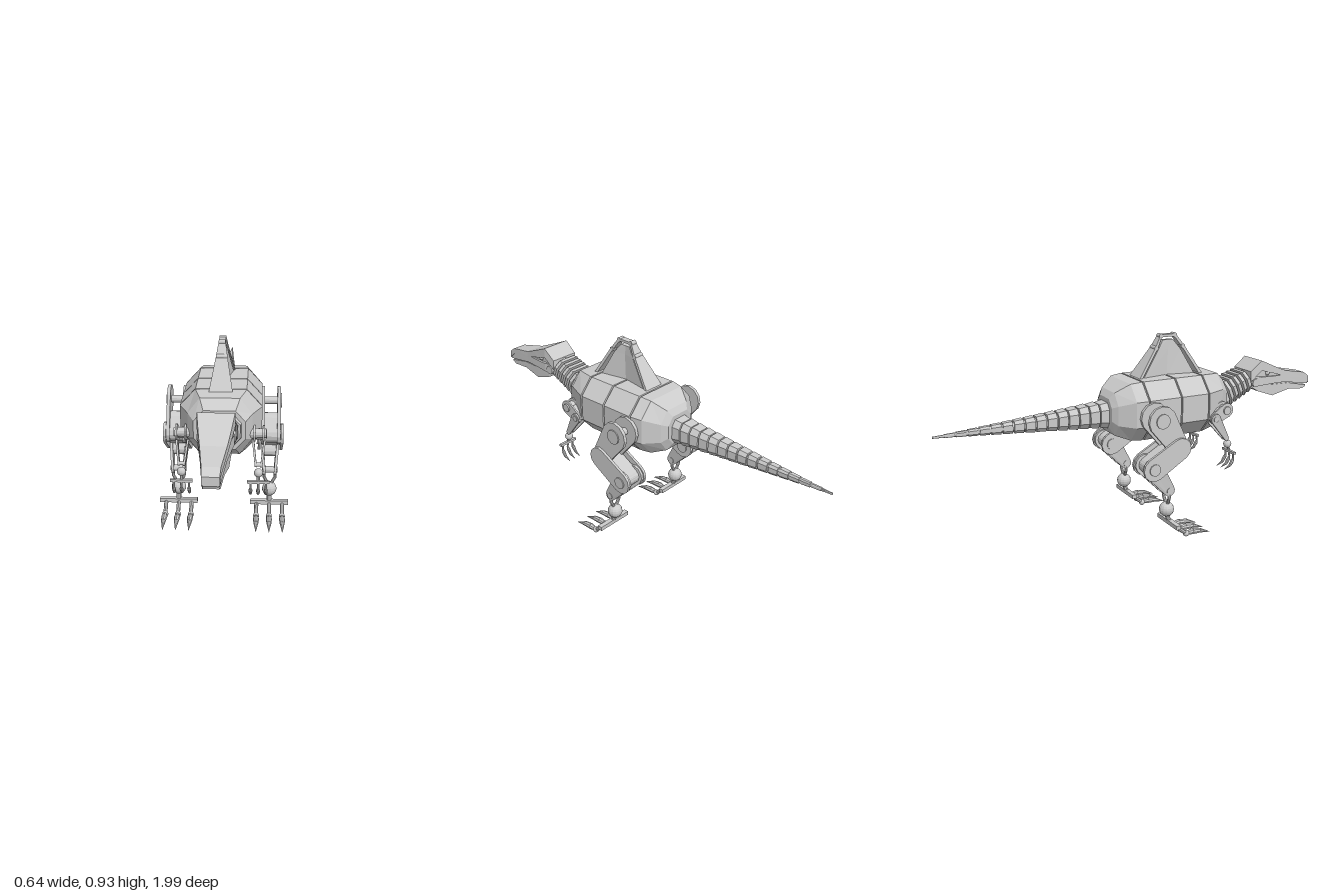
import * as THREE from 'three';

const mat = new THREE.MeshStandardMaterial({ color: 0xcccccc, flatShading: true, side: THREE.DoubleSide });
const lerp = THREE.MathUtils.lerp;

function add(parent, name, geo) {
  const m = new THREE.Mesh(geo, mat);
  m.name = name;
  parent.add(m);
  return m;
}

// Skin a list of equal-length rings of [x, y, z], with capped ends
function loft(rings) {
  const n = rings[0].length, idx = [];
  for (let i = 0; i < rings.length - 1; i++) for (let j = 0; j < n; j++) {
    const a = i * n + j, b = i * n + (j + 1) % n;
    idx.push(a, b, b + n, a, b + n, a + n);
  }
  const e = (rings.length - 1) * n;
  for (let j = 1; j < n - 1; j++) idx.push(0, j + 1, j, e, e + j, e + j + 1);
  const g = new THREE.BufferGeometry();
  g.setAttribute('position', new THREE.Float32BufferAttribute(rings.flat(2), 3));
  g.setIndex(idx);
  const out = g.toNonIndexed();
  out.computeVertexNormals();
  return out;
}

// Octagonal cross-section; cx, cy are the kept fractions of the flat sides
function oct(z, w, top, bot, cx = 0.62, cy = 0.45) {
  const a = w * cx, m = (top + bot) / 2, h = (top - bot) / 2 * cy;
  return [[w, m - h, z], [w, m + h, z], [a, top, z], [-a, top, z],
    [-w, m + h, z], [-w, m - h, z], [-a, bot, z], [a, bot, z]];
}

// Round-ended plate in the side plane between [z, y] points, x going from x1 to x2
function link(p, r1, x1, q, r2, x2, t) {
  const a = Math.atan2(q[1] - p[1], q[0] - p[0]), pts = [];
  [[q, r2, -0.5], [p, r1, 0.5]].forEach(([c, r, s]) => {
    for (let i = 0; i <= 6; i++) {
      const u = a + (s + i / 6) * Math.PI;
      pts.push(new THREE.Vector2(c[0] + r * Math.cos(u), c[1] + r * Math.sin(u)));
    }
  });
  const g = new THREE.ExtrudeGeometry(new THREE.Shape(pts), { depth: t, bevelEnabled: false });
  g.translate(0, 0, -t / 2).rotateY(-Math.PI / 2);
  const pos = g.attributes.position;
  for (let i = 0; i < pos.count; i++) {
    const k = (pos.getY(i) - p[1]) / (q[1] - p[1]);
    pos.setX(i, pos.getX(i) + lerp(x1, x2, THREE.MathUtils.clamp(k, 0, 1)));
  }
  g.computeVertexNormals();
  return g;
}

// Tapered rod between two [x, y, z] points
function rod(a, b, r1, r2 = r1, sides = 8) {
  const p = new THREE.Vector3(...a), d = new THREE.Vector3(...b).sub(p);
  const g = new THREE.CylinderGeometry(r2, r1, d.length(), sides);
  g.translate(0, d.length() / 2, 0);
  g.applyQuaternion(new THREE.Quaternion().setFromUnitVectors(new THREE.Vector3(0, 1, 0), d.normalize()));
  return g.translate(p.x, p.y, p.z);
}
const pin = (c, x1, x2, r) => rod([x1, c[1], c[0]], [x2, c[1], c[0]], r, r, 14);
const ball = (x, y, z, r) => new THREE.SphereGeometry(r, 14, 10).translate(x, y, z);

// Ribbon following [z, y, halfWidth] points
function strip(path, t) {
  return loft(path.map((p, i) => {
    const a = path[Math.max(i - 1, 0)], b = path[Math.min(i + 1, path.length - 1)];
    const l = Math.hypot(b[0] - a[0], b[1] - a[1]), tz = (b[0] - a[0]) / l, ty = (b[1] - a[1]) / l;
    const at = (s, k) => [s * p[2], p[1] + k * tz * t / 2, p[0] - k * ty * t / 2];
    return [at(-1, -1), at(1, -1), at(1, 1), at(-1, 1)];
  }));
}

// Curved digit: rod chain through [z, y, radius] points
function digit(parent, name, x, pts) {
  for (let i = 0; i < pts.length - 1; i++) {
    const [a, b] = [pts[i], pts[i + 1]];
    add(parent, name, rod([x, a[1], a[0]], [x, b[1], b[0]], a[2], b[2]));
  }
}

function makeLeg() {
  const g = new THREE.Group();
  const hip = [-0.02, 0.585], knee = [0.07, 0.445], hock = [-0.068, 0.365], ankle = [0.025, 0.24];
  for (const s of [-1, 1]) {
    add(g, 'thighPlate', link(hip, 0.07, s * 0.038, knee, 0.048, s * 0.038, 0.016));
    add(g, 'middlePlate', link(knee, 0.052, s * 0.054, hock, 0.056, s * 0.054, 0.013));
    add(g, 'shinPlate', link(hock, 0.05, s * 0.042, ankle, 0.028, s * 0.026, 0.013));
    add(g, 'jointCap', pin(hip, s * 0.03, s * 0.052, 0.035));
    add(g, 'jointCap', pin(hock, s * 0.05, s * 0.066, 0.028));
    add(g, 'ankleFork', rod([s * 0.027, 0.235, 0.025], [s * 0.027, 0.2, 0.026], 0.008));
    add(g, 'ankleFork', rod([s * 0.027, 0.2, 0.026], [s * 0.008, 0.165, 0.027], 0.008));
  }
  add(g, 'thighCore', link([0.03, 0.505], 0.035, 0, knee, 0.04, 0, 0.06));
  add(g, 'middleCore', link(knee, 0.035, 0, hock, 0.035, 0, 0.08));
  add(g, 'shinCore', link(hock, 0.035, 0, [-0.03, 0.32], 0.03, 0, 0.06));
  add(g, 'hipAxle', pin(hip, -0.1, 0.045, 0.018));
  add(g, 'kneePin', pin(knee, -0.06, 0.06, 0.025));
  add(g, 'anklePin', pin(ankle, -0.038, 0.038, 0.016));
  add(g, 'ankleBall', ball(0, 0.138, 0.027, 0.036));
  add(g, 'footStem', rod([0, 0.11, 0.03], [0, 0.07, 0.042], 0.012));
  add(g, 'toeBar', new THREE.BoxGeometry(0.187, 0.02, 0.024).translate(0, 0.072, 0.042));
  for (const x of [-0.063, 0, 0.064]) {
    digit(g, 'toe', x, [[0.042, 0.07, 0.01], [0.065, 0.05, 0.01], [0.095, 0.026, 0.01]]);
    add(g, 'toeJoint', ball(x, 0.022, 0.1, 0.015));
    digit(g, 'claw', x, [[0.1, 0.022, 0.009], [0.135, 0.025, 0.015], [0.175, 0.022, 0.012], [0.232, 0.004, 0.001]]);
  }
  return g;
}

function makeArm(side) {
  const g = new THREE.Group();
  const shoulder = [0.375, 0.57], elbow = [0.31, 0.535], wrist = [0.385, 0.425];
  for (const s of [-1, 1]) {
    add(g, 'upperArmPlate', link(shoulder, 0.036, s * 0.02, elbow, 0.028, s * 0.02, 0.009));
    add(g, 'forearmPlate', link(elbow, 0.026, s * 0.03, wrist, 0.012, s * 0.012, 0.009));
  }
  add(g, 'upperArmCore', link([0.35, 0.557], 0.024, 0, elbow, 0.02, 0, 0.036));
  add(g, 'shoulderAxle', rod([-side * 0.065, shoulder[1], shoulder[0]], [side * 0.032, shoulder[1], shoulder[0]], 0.026, 0.02, 12));
  add(g, 'elbowPin', pin(elbow, -0.036, 0.036, 0.014));
  add(g, 'wristPin', pin(wrist, -0.018, 0.018, 0.009));
  add(g, 'wristBall', ball(0, 0.392, 0.4, 0.02));
  add(g, 'handStem', rod([0, 0.38, 0.405], [0, 0.35, 0.412], 0.007));
  add(g, 'fingerBar', new THREE.BoxGeometry(0.1, 0.012, 0.014).translate(0, 0.353, 0.412));
  for (const x of [-0.034, 0, 0.034])
    digit(g, 'finger', x, [[0.412, 0.352, 0.005], [0.415, 0.325, 0.005], [0.41, 0.312, 0.009], [0.396, 0.29, 0.007], [0.365, 0.274, 0.001]]);
  return g;
}

export function createModel() {
  const root = new THREE.Group();
  root.name = 'mechanicalSailBackedDinosaur';

  // Torso: faceted barrel with narrow seams between its armour bands
  const seam = z => [oct(z - 0.004, 0.183, 0.738, 0.458), oct(z - 0.003, 0.176, 0.731, 0.465),
    oct(z + 0.003, 0.176, 0.731, 0.465), oct(z + 0.004, 0.183, 0.738, 0.458)];
  add(root, 'torso', loft([oct(-0.185, 0.08, 0.66, 0.52), oct(-0.165, 0.11, 0.69, 0.485),
    oct(-0.1, 0.17, 0.732, 0.462), ...seam(-0.04), ...seam(0.13), ...seam(0.28),
    oct(0.385, 0.14, 0.732, 0.475), oct(0.43, 0.112, 0.69, 0.515)]));
  add(root, 'neckCollar', loft([oct(0.42, 0.098, 0.68, 0.525), oct(0.445, 0.09, 0.67, 0.535)]));

  // Sail: concave-sided panel inside a separate tapering frame
  const panel = (y, z1, z2, w, m) => {
    const c = (z1 + z2) / 2;
    return [[w, y, z1], [m, y, c], [w, y, z2], [-w, y, z2], [-m, y, c], [-w, y, z1]];
  };
  add(root, 'sailPanel', loft([panel(0.72, 0.285, -0.01, 0.048, 0.02), panel(0.86, 0.21, 0.09, 0.022, 0.011),
    panel(0.905, 0.175, 0.12, 0.012, 0.008)]));
  const frame = [[0.315, 0.725, 0.054], [0.225, 0.87, 0.025], [0.185, 0.925, 0.015],
    [0.11, 0.925, 0.015], [0.08, 0.87, 0.025], [-0.025, 0.725, 0.054]];
  add(root, 'sailFrame', strip(frame, 0.014));
  frame.slice(1, 5).forEach(([z, y, w]) => add(root, 'sailFrameHinge', pin([z, y], -w, w, 0.011)));

  // Neck: tilted overlapping plates on a core
  const tilt = -Math.atan2(0.055, 0.14);
  for (let i = 0; i < 6; i++) {
    const k = i / 5, h = lerp(0.07, 0.058, k);
    const plate = add(root, 'neckPlate', loft([oct(-0.011, 0.08, h, -h, 0.65, 0.4), oct(0.009, 0.074, h - 0.006, 0.006 - h, 0.65, 0.4)]));
    plate.position.set(0, lerp(0.606, 0.662, k), lerp(0.455, 0.588, k));
    plate.rotation.x = tilt;
  }
  add(root, 'neckCore', rod([0, 0.595, 0.41], [0, 0.675, 0.63], 0.052, 0.045));

  // Head: overhanging roof, recessed core, upper lip and lower jaw
  const box = ([z, w, top, bot]) => [[w, bot, z], [w * 0.97, top, z], [-w * 0.97, top, z], [-w, bot, z]];
  const roof = [[0.597, 0.076, 0.715, 0.665], [0.66, 0.078, 0.766, 0.715], [0.75, 0.066, 0.727, 0.69],
    [0.83, 0.054, 0.695, 0.665], [0.965, 0.037, 0.67, 0.64], [1.0, 0.034, 0.646, 0.61]];
  add(root, 'skullRoof', loft(roof.map(box)));
  add(root, 'skullCore', loft(roof.slice(0, 5).map(([z, w, t]) => box([z, w * 0.78, t - 0.01, 0.625]))));
  add(root, 'upperLip', loft([[0.61, 0.072, 0.69, 0.64], [0.67, 0.074, 0.68, 0.637], [0.75, 0.063, 0.675, 0.637],
    [0.83, 0.052, 0.672, 0.635], [0.965, 0.036, 0.65, 0.61], [0.995, 0.034, 0.63, 0.607]].map(box)));
  add(root, 'lowerJaw', loft([[0.6, 0.05, 0.66, 0.64], [0.65, 0.064, 0.645, 0.607], [0.75, 0.056, 0.63, 0.572],
    [0.86, 0.044, 0.625, 0.592], [0.96, 0.034, 0.603, 0.582], [0.985, 0.031, 0.6, 0.592]].map(box)));
  for (const s of [-1, 1]) {
    add(root, 'eye', ball(s * 0.056, 0.695, 0.71, 0.012));
    add(root, 'jawHinge', pin([0.63, 0.655], s * 0.05, s * 0.078, 0.022));
  }

  // Tail: tapering stepped segments over a thin core
  const N = 16, L = 0.82 / N;
  const tail = (k, f, z) => {
    const w = lerp(0.057, 0.004, k) * f, y = lerp(0.578, 0.574, k), h = lerp(0.062, 0.005, k) * f;
    return oct(z, w, y + h, y - h, 0.6, 0.5);
  };
  for (let i = 0; i < N; i++) {
    const z = -0.18 - i * L, k = i / (N - 1);
    add(root, 'tailSegment', loft([tail(k, 0.88, z - L * 0.84), tail(k, 1, z)]));
  }
  add(root, 'tailCore', loft([tail(0.99, 0.7, -0.99), tail(0, 0.72, -0.15)]));

  // Limbs on both sides
  for (const s of [-1, 1]) {
    const leg = makeLeg(), arm = makeArm(s);
    leg.name = s > 0 ? 'leftLeg' : 'rightLeg';
    arm.name = s > 0 ? 'leftArm' : 'rightArm';
    leg.position.x = s * 0.225;
    leg.scale.x = 1;
    arm.position.x = s * 0.17;
    // Hip axles reach toward the body
    add(leg, 'hipMount', pin([-0.02, 0.585], -s * 0.09, -s * 0.03, 0.04));
    root.add(leg, arm);
  }
  // The outward end of each hip axle is trimmed to the outer plate
  root.traverse(o => { if (o.name === 'hipAxle' && o.parent.position.x < 0) o.geometry.scale(-1, 1, 1).rotateY(0); });
  root.traverse(o => {
    if (o.name === 'hipAxle' && o.parent.position.x < 0) {
      o.geometry = pin([-0.02, 0.585], -0.045, 0.1, 0.018);
    }
  });
  root.position.x = -0.004;
  return root;
}
